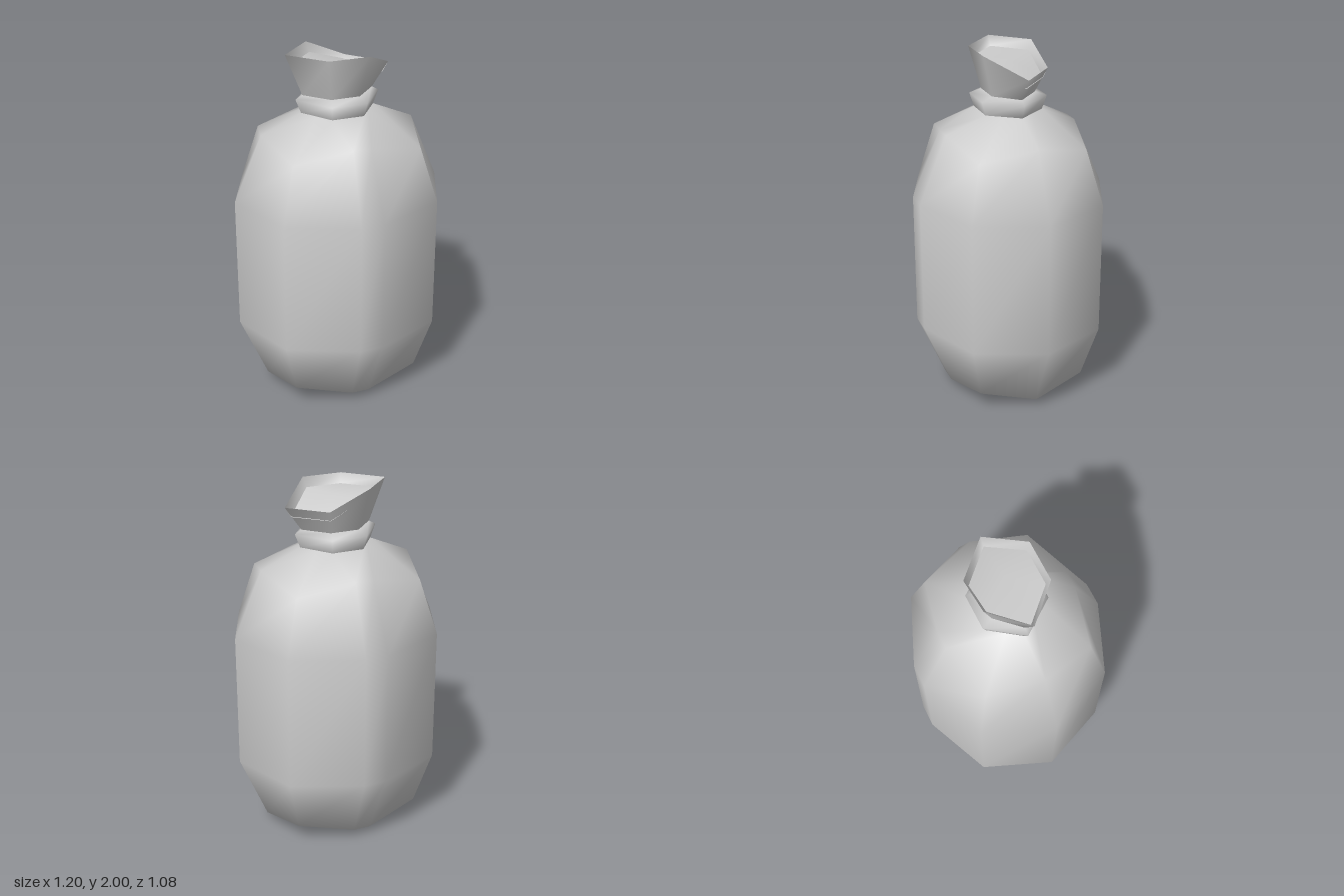
import * as THREE from 'three';
import { mergeVertices } from 'three/addons/utils/BufferGeometryUtils.js';

// Smooth skin through rings of [x, y, z] points, ordered from +x towards +z
function loft(rings, capCentre) {
  const n = rings[0].length;
  const index = [];
  for (let r = 0; r < rings.length - 1; r++) {
    for (let j = 0; j < n; j++) {
      const k = (j + 1) % n;
      const a = r * n + j, b = r * n + k, c = a + n, d = b + n;
      index.push(a, c, b, b, c, d);
    }
  }
  const points = rings.flat();
  if (capCentre) {
    const base = (rings.length - 1) * n;
    points.push(capCentre);
    for (let j = 0; j < n; j++) index.push(base + j, points.length - 1, base + (j + 1) % n);
  }
  const g = new THREE.BufferGeometry();
  g.setAttribute('position', new THREE.Float32BufferAttribute(points.flat(), 3));
  g.setIndex(index);
  const merged = mergeVertices(g, 1e-4);
  merged.computeVertexNormals();
  return merged;
}

// Ten-sided ring: side tip x, corner (x, z), front end (x, z); corners may sit at their own height
function tenRing(y, cornerY, tip, cx, cz, ex, ez) {
  return [
    [tip, y, 0], [cx, cornerY, cz], [ex, y, ez], [-ex, y, ez], [-cx, cornerY, cz],
    [-tip, y, 0], [-cx, cornerY, -cz], [-ex, y, -ez], [ex, y, -ez], [cx, cornerY, -cz],
  ];
}

// Six-sided ring; heights may be one number or one per point
function hexRing(y, tip, ex, ez) {
  const h = Array.isArray(y) ? y : Array(6).fill(y);
  return [[tip, 0], [ex, ez], [-ex, ez], [-tip, 0], [-ex, -ez], [ex, -ez]]
    .map(([x, z], i) => [x, h[i], z]);
}

export function createModel() {
  const group = new THREE.Group();
  const cloth = new THREE.MeshStandardMaterial({ color: 0xcccccc });
  cloth.name = 'greyCloth';

  const add = (name, geometry) => {
    const mesh = new THREE.Mesh(geometry, cloth);
    mesh.name = name;
    group.add(mesh);
  };

  // Stuffed bag, closing to a short seam underneath
  add('sackBody', loft([
    tenRing(0, 0, 0.06, 0.06, 0, 0.06, 0),
    tenRing(0.048, 0.115, 0.44, 0.365, 0.31, 0.05, 0.38),
    tenRing(0.43, 0.43, 0.6, 0.443, 0.38, 0.065, 0.54),
    tenRing(1.19, 1.19, 0.6, 0.443, 0.38, 0.065, 0.54),
    tenRing(1.565, 1.495, 0.44, 0.365, 0.31, 0.05, 0.38),
    tenRing(1.665, 1.665, 0.21, 0.15, 0.083, 0.09, 0.165),
  ], [0, 1.67, 0]));

  // Tie around the neck
  add('neckTie', loft([
    hexRing(1.665, 0.21, 0.09, 0.165),
    hexRing(1.742, 0.24, 0.1, 0.188),
    hexRing(1.765, 0.2, 0.08, 0.125),
  ], [0, 1.765, 0]));

  // Flared, gathered mouth with a lip that dips on one side
  const rim = [1.897, 2, 2, 2, 2, 1.9];
  add('gatheredMouth', loft([
    hexRing(1.762, 0.2, 0.08, 0.125),
    hexRing(rim, 0.295, 0.115, 0.185),
  ]));
  add('mouthFilling', loft([
    hexRing(rim, 0.295, 0.115, 0.185),
    hexRing(rim.map((y) => y - 0.055), 0.262, 0.102, 0.164),
  ]));
  add('mouthFold', loft([
    hexRing(rim.map((y) => y - 0.055), 0.262, 0.102, 0.164),
  ], [0.03, 1.945, 0]));
  return group;
}
